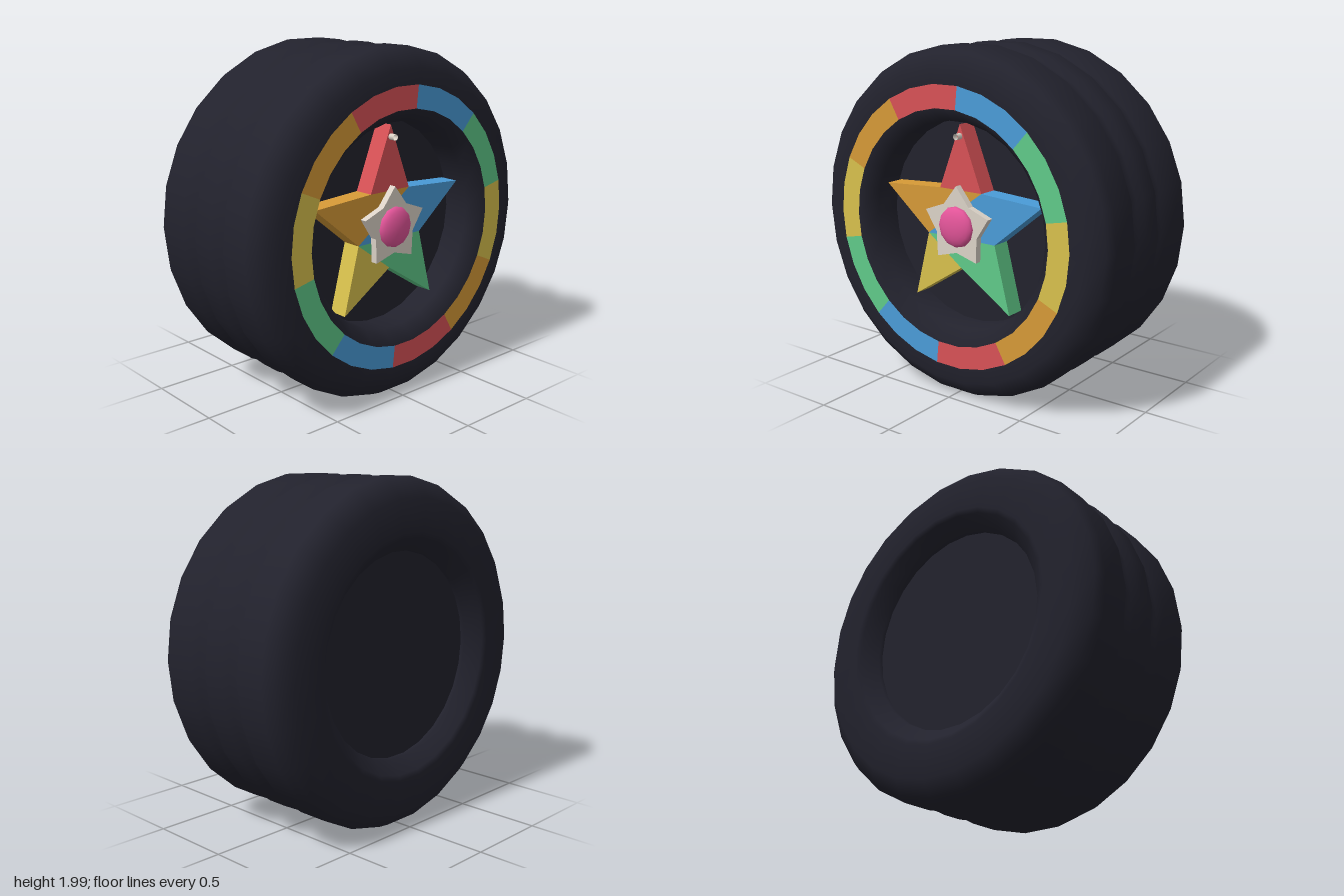
import * as THREE from 'three';

const mat = (name, color, side = THREE.FrontSide) => {
  const m = new THREE.MeshStandardMaterial({ color, side });
  m.name = name;
  return m;
};

// Point on a circle, angle in degrees
const polar = (r, deg) => {
  const a = THREE.MathUtils.degToRad(deg);
  return new THREE.Vector2(r * Math.cos(a), r * Math.sin(a));
};

export function createModel() {
  const rubber = mat('rubber', 0x22222d);
  const red = mat('red', 0xd85256);
  const orange = mat('orange', 0xd69a37);
  const yellow = mat('yellow', 0xd8c14d);
  const green = mat('green', 0x60ca89);
  const blue = mat('blue', 0x4a9cd8);
  const ivory = mat('ivory', 0xdcd3c8, THREE.DoubleSide);
  const pink = mat('pink', 0xe4559a);

  const group = new THREE.Group();
  group.name = 'wheel';
  const CY = 0.993;

  const add = (parent, name, geometry, material, z = 0) => {
    const mesh = new THREE.Mesh(geometry, material);
    mesh.name = name;
    mesh.position.z = z;
    parent.add(mesh);
    return mesh;
  };

  // Tyre: [radius, x] from the back recess, over the tread, into the front recess
  const profile = [
    [0.59, -0.385], [0.595, -0.41], [0.67, -0.485], [0.7, -0.498], [0.887, -0.498],
    [0.972, -0.43], [1, -0.375],
    [1, -0.19], [0.967, -0.168], [0.967, -0.085], [1, -0.065],
    [1, 0.065], [0.967, 0.085], [0.967, 0.168], [1, 0.19],
    [1, 0.375], [0.972, 0.43], [0.887, 0.497], [0.67, 0.497],
    [0.595, 0.41], [0.59, 0.26],
  ].map(([r, x]) => new THREE.Vector2(r, x));
  const tyre = add(group, 'tyre', new THREE.LatheGeometry(profile, 26), rubber);
  tyre.rotation.z = -Math.PI / 2;
  tyre.position.y = CY;

  // Everything on the face is built facing +z, then turned to face +x
  const face = new THREE.Group();
  face.name = 'wheelFace';
  face.rotation.y = Math.PI / 2;
  face.position.y = CY;
  group.add(face);

  // Discs closing both recesses
  add(face, 'frontDisc', new THREE.CircleGeometry(0.592, 26), rubber, 0.26);
  const backDisc = add(face, 'backDisc', new THREE.CircleGeometry(0.592, 26), rubber, -0.387);
  backDisc.rotation.y = Math.PI;

  // Ten coloured segments of the rim band
  const bandColours = [red, orange, yellow, green, blue];
  for (let i = 0; i < 10; i++) {
    const start = THREE.MathUtils.degToRad(84 + i * 36);
    const segment = new THREE.RingGeometry(0.67, 0.8, 3, 1, start, Math.PI / 5);
    add(face, 'rimSegment' + (i + 1), segment, bandColours[i % 5], 0.5);
  }

  const extrude = (points, depth) =>
    new THREE.ExtrudeGeometry(new THREE.Shape(points), { depth, bevelEnabled: false });

  // Five-colour star: each arm is a tip plus its share of the middle
  const tip = (deg) => polar(0.572, deg);
  const notch = (deg) => polar(0.248, deg);
  const A = notch(126), B = notch(54), C = notch(-18), D = notch(-90), E = notch(198);
  const arms = [
    ['redArm', red, [tip(90), A, B]],
    ['orangeArm', orange, [tip(162), E, B, A]],
    ['blueArm', blue, [tip(18), B, E, C]],
    ['greenArm', green, [tip(-54), C, E, D]],
    ['yellowArm', yellow, [tip(234), D, E]],
  ];
  for (const [name, material, points] of arms) {
    add(face, name, extrude(points, 0.115), material, 0.26);
  }

  // Small star plate with a domed hub cap
  const plate = [];
  for (let i = 0; i < 10; i++) plate.push(polar(i % 2 ? 0.15 : 0.232, 90 + i * 36));
  add(face, 'hubStar', extrude(plate, 0.045), ivory, 0.37);

  const cap = add(face, 'hubCap', new THREE.SphereGeometry(0.118, 12, 10), pink, 0.415);
  cap.geometry.rotateX(Math.PI / 2);
  cap.scale.z = 0.4;

  // Valve stem near the top tip
  const valve = add(face, 'valveStem',
    new THREE.CylinderGeometry(0.018, 0.018, 0.045, 10, 1, true), ivory, 0.39);
  valve.rotation.x = Math.PI / 2;
  valve.position.y = 0.505;

  return group;
}
